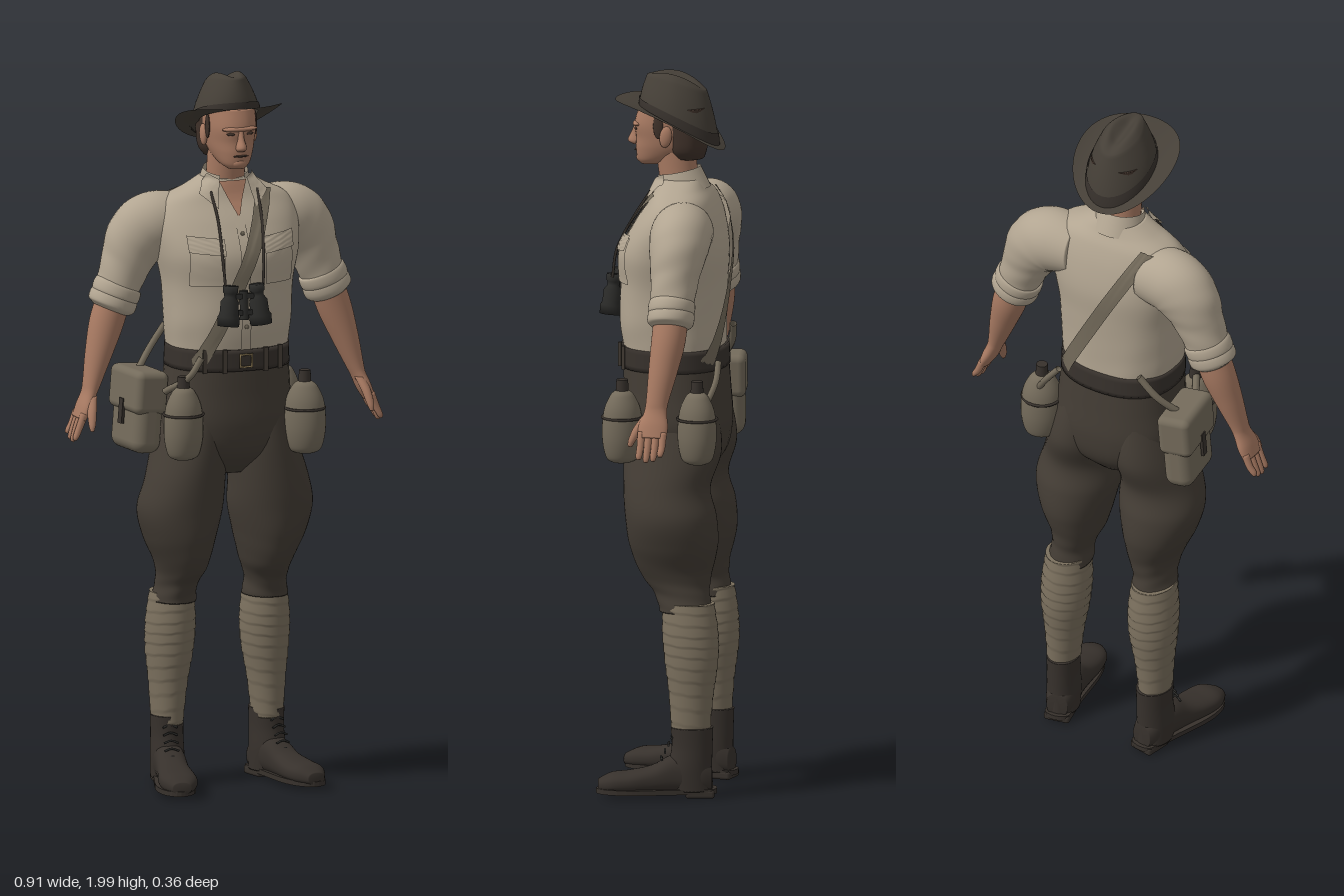
import * as THREE from 'three';
import { RoundedBoxGeometry } from 'three/addons/geometries/RoundedBoxGeometry.js';

const mat = (name, color) => new THREE.MeshStandardMaterial({ name, color, side: THREE.DoubleSide });
const M = {
  skin: mat('skin', 0xa87a62), shirt: mat('shirt cloth', 0xb2a591), trousers: mat('trouser cloth', 0x443d35),
  felt: mat('hat felt', 0x453f37), leather: mat('dark leather', 0x37312c), wool: mat('leg wraps', 0x7a6f5d),
  canvas: mat('canvas', 0x746b5b), hair: mat('hair', 0x40322a), metal: mat('black metal', 0x2a2a28), brass: mat('brass', 0x8a7753),
};

function add(parent, name, geo, material, x = 0, y = 0, z = 0, rx = 0, ry = 0, rz = 0) {
  const m = new THREE.Mesh(geo, material);
  m.name = name;
  m.position.set(x, y, z);
  m.rotation.set(rx, ry, rz);
  parent.add(m);
  return m;
}

// Smooth interpolation of cross-section rows
function sample(rows, t) {
  const f = t * (rows.length - 1), i = Math.min(Math.floor(f), rows.length - 2), u = f - i;
  const at = k => rows[Math.max(0, Math.min(rows.length - 1, k))];
  const [a, b, c, d] = [at(i - 1), at(i), at(i + 1), at(i + 2)];
  return b.map((p, k) => p + 0.5 * u * (c[k] - a[k] + u * (2 * a[k] - 5 * p + 4 * c[k] - d[k] + u * (3 * (p - c[k]) + d[k] - a[k]))));
}

// Surface from a rule (u, v) -> [x, y, z]
function grid(nu, nv, fn, wrap = false) {
  const pos = [], idx = [], w = wrap ? nu : nu + 1;
  for (let j = 0; j <= nv; j++) for (let i = 0; i < w; i++) pos.push(...fn(i / nu, j / nv));
  for (let j = 0; j < nv; j++) for (let i = 0; i < nu; i++) {
    const a = j * w + i, b = j * w + (i + 1) % w;
    idx.push(a, a + w, b, b, a + w, b + w);
  }
  const g = new THREE.BufferGeometry();
  g.setAttribute('position', new THREE.Float32BufferAttribute(pos, 3));
  g.setIndex(idx);
  g.computeVertexNormals();
  return g;
}

// Closed tube through rows [x, y, z, rx, rz]; tilt sets rings square to the path
function loft(rows, { tilt = false, steps = 40, n = 2, seg = 36, wave = () => 0, cap = true } = {}) {
  return grid(seg, steps + 2, (u, v) => {
    const j = Math.round(v * (steps + 2)), t = Math.max(0, Math.min(1, (j - 1) / steps));
    const [x, y, z, rx, rz] = sample(rows, t), a = u * Math.PI * 2;
    let sx = 1, sy = 0;
    if (tilt) {
      const p = sample(rows, Math.max(0, t - 0.02)), q = sample(rows, Math.min(1, t + 0.02));
      const l = Math.hypot(q[0] - p[0], q[1] - p[1]);
      sx = (q[1] - p[1]) / l; sy = -(q[0] - p[0]) / l;
    }
    const k = cap && (j === 0 || j === steps + 2) ? 0 : 1 + wave(t, a);
    const e = c => Math.sign(c) * Math.abs(c) ** (2 / n);
    const s = e(Math.cos(a)) * rx * k;
    return [x + s * sx, y + s * sy, z + e(Math.sin(a)) * rz * k];
  }, true);
}

const TORSO = [[0, 1.18, -.02, .163, .135], [0, 1.23, -.02, .168, .138], [0, 1.31, -.015, .176, .143], [0, 1.41, -.018, .182, .143],
  [0, 1.5, -.02, .2, .144], [0, 1.58, -.033, .205, .118], [0, 1.64, -.043, .18, .088], [0, 1.675, -.04, .115, .07], [0, 1.7, -.038, .07, .06]];
const torsoRows = Array.from({ length: 121 }, (_, i) => sample(TORSO, i / 120));
function torsoZ(x, y, side) {
  const r = torsoRows.reduce((b, c) => Math.abs(c[1] - y) < Math.abs(b[1] - y) ? c : b);
  const k = Math.min(.96, Math.abs(x / r[3]));
  return r[2] + side * r[4] * (1 - k ** 2.3) ** (1 / 2.3);
}
// Cloth panel lying on the torso, from four corners
const panel = (a, b, c, d, side = 1, off = .006) => grid(8, 12, (u, v) => {
  const p = k => (a[k] * (1 - u) + b[k] * u) * (1 - v) + (d[k] * (1 - u) + c[k] * u) * v;
  return [p(0), p(1), torsoZ(p(0), p(1), side) + side * off];
});
const tube = (pts, r, n = 24) => new THREE.TubeGeometry(new THREE.CatmullRomCurve3(pts.map(p => new THREE.Vector3(...p))), n, r, 8);
const ball = (x, y, z) => new THREE.SphereGeometry(1, 20, 14).scale(x, y, z);

function head(g) {
  add(g, 'neck', loft([[0, 1.56, -.045, .06, .05], [0, 1.66, -.035, .054, .053], [0, 1.78, -.02, .052, .055]]), M.skin);
  add(g, 'head', loft([[0, 1.735, .05, .024, .026], [0, 1.75, .032, .042, .053], [0, 1.78, .006, .057, .083], [0, 1.81, -.006, .065, .094],
    [0, 1.85, -.008, .07, .1], [0, 1.9, -.015, .07, .093]], { n: 2.2 }), M.skin);
  add(g, 'hair', loft([[0, 1.755, -.06, .05, .04], [0, 1.78, -.057, .067, .05], [0, 1.82, -.055, .073, .055], [0, 1.9, -.045, .075, .07]], { n: 2.3 }), M.hair);
  add(g, 'nose', loft([[0, 1.787, .088, .011, .01], [0, 1.797, .092, .015, .021], [0, 1.82, .089, .009, .014], [0, 1.845, .083, .009, .01]], { steps: 16, seg: 16 }), M.skin);
  add(g, 'brow', ball(.052, .008, .016), M.skin, 0, 1.848, .08);
  add(g, 'mouth', ball(.022, .003, .004), M.hair, 0, 1.773, .088);
  add(g, 'chin', ball(.022, .015, .016), M.skin, 0, 1.752, .073);
  for (const s of [-1, 1]) {
    add(g, 'ear', ball(.01, .03, .017), M.skin, s * .073, 1.822, -.008, -.15);
    add(g, 'eye', ball(.012, .004, .004), M.hair, s * .028, 1.835, .085, 0, s * .3);
    add(g, 'sideburn', ball(.005, .035, .014), M.hair, s * .069, 1.85, .014);
  }
}

function hat(g) {
  const slope = z => 1.875 + .433 * z - 1.08 * z * z;
  add(g, 'hatBrim', grid(56, 8, (u, v) => {
    const a = u * Math.PI * 2, k = .55 + .45 * v, x = Math.sin(a) * .146 * k, z = -.006 + Math.cos(a) * .151 * k;
    return [x, slope(z) + .9 * x * x * (v - .4), z];
  }, true), M.felt);
  // Pinched crown with a crease along the top
  const crown = (grow, top) => (u, v) => {
    const a = u * Math.PI * 2, c = Math.cos(a), s = Math.sin(a), w = v * top;
    const t = Math.min(1, w), k = Math.max(0, w - 1);
    const rx = (.092 - .038 * t ** 1.6 + grow) * (1 - .2 * t * Math.max(0, c)), rz = .109 - .026 * t ** 1.6 + grow;
    const x = s * rx * (1 - k), z = -.031 + .006 * t + c * rz * (1 - k);
    const low = slope(-.031 + c * rz), high = 1.972 + .24 * (z + .02) - 1.2 * (z + .02) ** 2;
    const crease = .022 * Math.sin(Math.min(1, k * 1.5) * Math.PI / 2) * Math.exp(-((x / .022) ** 2));
    return [x, low + (high - low) * t + .02 * Math.sin(Math.min(1, k * 2) * Math.PI / 2) - crease, z];
  };
  add(g, 'hatCrown', grid(48, 40, crown(0, 2), true), M.felt);
  add(g, 'hatBand', grid(48, 4, crown(.003, .24), true), M.leather);
}

function shirt(g) {
  const fold = (t, a) => .012 * Math.sin(a * 9 + t * 7) * Math.max(0, .55 - t) + .006 * Math.sin(t * 50 + a * 3) * Math.max(0, .5 - t);
  add(g, 'shirtBody', loft(TORSO, { n: 2.3, steps: 60, seg: 64, wave: fold }), M.shirt);
  add(g, 'openNeck', panel([-.04, 1.695], [.04, 1.695], [.003, 1.605], [-.003, 1.605]), M.skin);
  add(g, 'placket', panel([-.014, 1.605], [.014, 1.605], [.014, 1.24], [-.014, 1.24], 1, .005), M.shirt);
  add(g, 'collarBand', new THREE.CylinderGeometry(.062, .078, .06, 36, 2, true, .6, Math.PI * 2 - 1.2), M.shirt, 0, 1.69, -.035, .2);
  for (let i = 0; i < 4; i++) add(g, 'button', ball(.006, .006, .003), M.canvas, 0, 1.56 - i * .085, torsoZ(0, 1.56 - i * .085, 1) + .006);
  for (const s of [-1, 1]) {
    add(g, 'collarFlap', panel([s * .066, 1.715], [s * .04, 1.7], [s * .055, 1.625], [s * .1, 1.665], 1, .014), M.shirt);
    add(g, 'chestPocket', panel([s * .06, 1.54], [s * .15, 1.55], [s * .15, 1.42], [s * .06, 1.42], 1, .006), M.shirt);
    add(g, 'pocketFlap', panel([s * .057, 1.55], [s * .155, 1.56], [s * .153, 1.515], [s * .057, 1.505], 1, .012), M.shirt);
  }
}

function arm(g) {
  add(g, 'sleeve', loft([[.11, 1.57, -.07, .08, .08], [.195, 1.567, -.075, .092, .084], [.243, 1.53, -.077, .088, .078], [.275, 1.465, -.075, .071, .066],
    [.302, 1.395, -.073, .06, .059]], { tilt: true, wave: (t, a) => .012 * Math.sin(t * 30 + a * 3) * t }), M.shirt);
  for (let i = 0; i < 2; i++)
    add(g, 'rolledCuff', loft([[.294 + i * .011, 1.413 - i * .027, -.073, .055, .053], [.298 + i * .011, 1.404 - i * .027, -.073, .067, .063],
      [.308 + i * .01, 1.378 - i * .026, -.072, .067, .063], [.313 + i * .01, 1.366 - i * .026, -.072, .05, .05]], { tilt: true, steps: 14 }), M.shirt);
  add(g, 'forearm', loft([[.298, 1.41, -.073, .046, .046], [.332, 1.31, -.07, .048, .047], [.36, 1.225, -.06, .038, .04], [.385, 1.145, -.049, .025, .031],
    [.395, 1.115, -.046, .02, .032], [.41, 1.08, -.043, .019, .041], [.425, 1.048, -.042, .014, .04]], { tilt: true }), M.skin);
  for (let i = 0; i < 4; i++) {
    const z = -.072 + i * .02, e = [0, .012, .016, .009][i];
    add(g, 'finger', loft([[.42, 1.065, z, .011, .011], [.434, 1.03, z, .01, .01], [.446, 1.012 - e, z + .002, .008, .009], [.45, 1.003 - e, z + .002, .004, .005]], { tilt: true, steps: 12, seg: 12 }), M.skin);
  }
  add(g, 'thumb', loft([[.392, 1.11, -.028, .014, .016], [.402, 1.075, -.002, .013, .015], [.408, 1.04, .016, .01, .011], [.41, 1.022, .022, .005, .006]], { steps: 16, seg: 14 }), M.skin);
}

function leg(g) {
  add(g, 'breechesLeg', loft([[.085, 1.08, -.03, .08, .125], [.103, .96, -.035, .098, .135], [.122, .86, -.022, .11, .12], [.132, .78, -.034, .117, .126],
    [.131, .7, -.042, .098, .123], [.124, .62, -.048, .07, .1], [.131, .565, -.066, .056, .077], [.135, .515, -.08, .063, .074]],
  { steps: 64, seg: 48, wave: (t, a) => .03 * Math.sin(t * 55 + a * 2) * Math.max(0, t - .55) + .012 * Math.sin(a * 5 + t * 9) * t }), M.trousers);
  // Wound cloth: each turn flares slightly over the next
  add(g, 'legWrap', loft([[.137, .54, -.085, .058, .07], [.138, .46, -.09, .067, .076], [.14, .38, -.094, .065, .073], [.144, .28, -.094, .052, .06], [.147, .17, -.093, .042, .052]],
    { steps: 84, wave: (t, a) => .035 * ((t * 11 + a / Math.PI / 2) % 1) }), M.wool);
  const boot = new THREE.Group();
  boot.name = 'boot';
  boot.position.set(.146, 0, -.097);
  boot.rotation.y = .2;
  g.add(boot);
  add(boot, 'bootShaft', loft([[0, .195, 0, .046, .058], [0, .14, .0, .045, .056], [0, .08, .005, .047, .06], [0, .02, .0, .045, .058]]), M.leather);
  add(boot, 'bootFoot', loft([[0, -.055, -.05, .03, .035], [0, -.02, -.062, .042, .05], [0, .05, -.065, .043, .052], [0, .11, -.05, .045, .037],
    [0, .17, -.043, .052, .03], [0, .22, -.04, .048, .027], [0, .258, -.033, .025, .016]], { n: 2.4 }).rotateX(Math.PI / 2), M.leather);
  const sole = new THREE.Shape();
  sole.moveTo(-.036, -.05);
  sole.bezierCurveTo(-.03, -.075, .03, -.075, .036, -.05);
  sole.bezierCurveTo(.04, .06, .06, .12, .056, .18);
  sole.bezierCurveTo(.05, .29, -.042, .29, -.05, .18);
  sole.bezierCurveTo(-.054, .12, -.038, .06, -.036, -.05);
  add(boot, 'sole', new THREE.ExtrudeGeometry(sole, { depth: .014, bevelEnabled: false, curveSegments: 12 }), M.leather, 0, .026, 0, Math.PI / 2);
  add(boot, 'heel', new RoundedBoxGeometry(.074, .024, .08, 2, .008), M.leather, 0, .012, -.022);
  for (let i = 0; i < 5; i++) add(boot, 'lace', tube([[-.02, .085 + i * .02, .092 - i * .009], [0, .092 + i * .02, .096 - i * .011], [.02, .085 + i * .02, .092 - i * .009]], .003, 6), M.metal);
}

function canteen(g, x, y, z, turn) {
  const c = new THREE.Group();
  c.name = 'canteen';
  c.position.set(x, y, z);
  c.rotation.y = turn;
  g.add(c);
  add(c, 'canteenBody', loft([[0, -.1, 0, .028, .025], [0, -.085, 0, .047, .042], [0, -.03, 0, .058, .052], [0, .04, 0, .054, .048], [0, .085, 0, .035, .031], [0, .1, 0, .016, .016]]), M.canvas);
  add(c, 'canteenStopper', new THREE.CylinderGeometry(.016, .018, .035, 16), M.leather, 0, .112, 0);
  add(c, 'canteenBand', new THREE.TorusGeometry(.0545, .004, 6, 32).scale(1, 1, .95), M.leather, 0, .025, 0, Math.PI / 2);
}

function kit(g) {
  const waist = [[0, 1.18, -.022, .172, .146], [0, 1.24, -.02, .17, .145]];
  add(g, 'belt', loft(waist, { n: 2.3, steps: 4, seg: 48 }), M.leather);
  add(g, 'buckle', new THREE.TorusGeometry(.024, .004, 6, 4).rotateZ(Math.PI / 4), M.brass, 0, 1.21, .13);
  for (const x of [-.11, -.06, .06, .11]) add(g, 'beltLoop', new THREE.BoxGeometry(.012, .066, .008), M.trousers, x, 1.21, torsoZ(x, 1.21, 1) + .012);
  // Shoulder straps, one across the chest and one across the back
  add(g, 'chestStrap', panel([.07, 1.675], [.115, 1.665], [-.105, 1.2], [-.145, 1.2], 1, .011), M.canvas);
  add(g, 'backStrap', panel([-.15, 1.65], [-.11, 1.66], [.15, 1.19], [.11, 1.18], -1, .012), M.canvas);
  add(g, 'backStrapEnd', tube([[.12, 1.21, -.165], [.16, 1.16, -.165], [.2, 1.1, -.145]], .009), M.canvas);
  add(g, 'chestStrapEnd', tube([[-.12, 1.22, .1], [-.155, 1.17, .1], [-.2, 1.12, .03]], .01), M.canvas);
  canteen(g, .187, 1.035, .09, -.6);
  canteen(g, .2, 1.04, -.122, .7);
  canteen(g, -.167, 1.04, .085, .6);
  const bag = new THREE.Group();
  bag.name = 'satchel';
  bag.position.set(-.238, 1.05, -.08);
  bag.rotation.set(0, .12, -.08);
  g.add(bag);
  add(bag, 'satchelBody', new RoundedBoxGeometry(.085, .22, .17, 4, .032), M.canvas);
  add(bag, 'satchelFlap', new RoundedBoxGeometry(.098, .12, .178, 4, .02), M.canvas, -.002, .06, 0);
  add(bag, 'satchelTab', new THREE.BoxGeometry(.008, .07, .022), M.leather, -.05, 0, 0);
  add(g, 'satchelStrap', tube([[-.13, 1.27, -.155], [-.18, 1.21, -.14], [-.235, 1.15, -.1]], .01), M.canvas);
  // Binoculars hanging on the chest
  const b = new THREE.Group();
  b.name = 'binoculars';
  b.position.set(-.014, 1.37, .15);
  b.rotation.x = -.08;
  g.add(b);
  const profile = [[0, -.055], [.03, -.055], [.031, -.03], [.026, -.022], [.025, .012], [.016, .025], [.017, .035], [.021, .038], [.021, .056], [0, .056]];
  for (const s of [-1, 1]) {
    add(b, 'barrel', new THREE.LatheGeometry(profile.map(p => new THREE.Vector2(...p)), 24), M.metal, s * .043, 0, 0, 0, 0, s * .1);
    add(g, 'neckCord', tube([[-.012 + s * .055, 1.42, .147], [-.01 + s * .06, 1.5, torsoZ(.05, 1.5, 1) + .012], [s * .064, 1.6, torsoZ(.064, 1.6, 1) + .01], [s * .068, 1.67, .035]], .004), M.leather);
  }
  add(b, 'hinge', new THREE.CylinderGeometry(.012, .012, .08, 16), M.metal);
  for (const y of [-.02, .025]) add(b, 'bridge', new THREE.BoxGeometry(.07, .014, .018), M.metal, 0, y, 0);
}

export function createModel() {
  const g = new THREE.Group();
  g.name = 'explorer';
  head(g);
  hat(g);
  shirt(g);
  add(g, 'breechesSeat', loft([[0, 1.235, -.02, .166, .14], [0, 1.12, -.026, .176, .143], [0, 1.02, -.03, .184, .144], [0, .94, -.033, .15, .125], [0, .88, -.035, .06, .07]], { n: 2.3 }), M.trousers);
  for (const s of [1, -1]) {
    const half = new THREE.Group();
    half.name = s > 0 ? 'leftLimbs' : 'rightLimbs';
    half.scale.x = s;
    arm(half);
    leg(half);
    g.add(half);
  }
  kit(g);
  return g;
}
